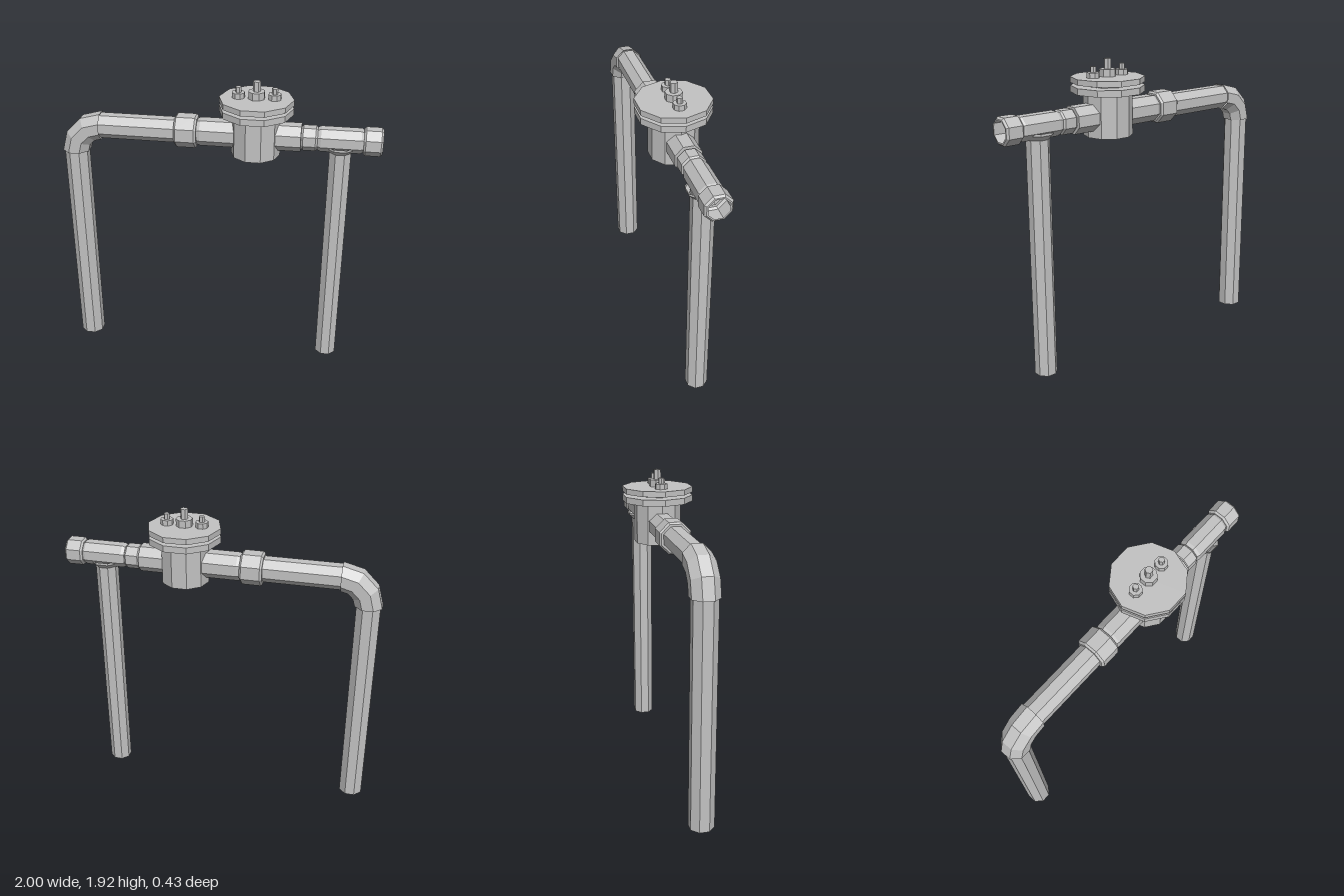
import * as THREE from 'three';

export function createModel() {
  const model = new THREE.Group();
  model.name = 'pipeValveAssembly';
  const metal = new THREE.MeshStandardMaterial({ color: 0xc2c2c2, flatShading: true, side: THREE.DoubleSide });
  metal.name = 'grey metal';
  const AXIS_Y = 1.58, VALVE_X = 0.23;

  function add(name, geometry) {
    const mesh = new THREE.Mesh(geometry, metal);
    mesh.name = name;
    model.add(mesh);
    return mesh;
  }
  // Faceted turned part: profile is a list of [radius, height], flats face front
  function turned(name, profile, x, sides = 8, phase = Math.PI / sides) {
    const points = profile.map(([r, y]) => new THREE.Vector2(r, y));
    const mesh = add(name, new THREE.LatheGeometry(points, sides, phase));
    mesh.position.x = x;
    return mesh;
  }
  // Same, laid along x on the pipe axis: profile is [radius, x]
  function alongX(name, profile) {
    const mesh = turned(name, profile, 0);
    mesh.rotation.z = -Math.PI / 2;
    mesh.position.y = AXIS_Y;
    return mesh;
  }
  // Nut with chamfered ends and an open bore
  function nut(name, x0, x1, r, bore) {
    const c = 0.012;
    alongX(name, [[bore, x0], [r - c, x0], [r, x0 + c], [r, x1 - c], [r - c, x1], [bore, x1]]);
  }

  // Upright pipes, open at the foot
  turned('longUprightPipe', [[0.079, 0], [0.079, 1.41]], -0.917);
  turned('shortUprightPipe', [[0.071, 0], [0.071, 1.53]], 0.75);

  // Quarter bend, with its ring turned half a side so flats match the pipes
  const R = 0.172, tube = 0.09;
  const bend = new THREE.TorusGeometry(R, tube, 8, 3, Math.PI / 2);
  const pos = bend.attributes.position, uv = bend.attributes.uv;
  for (let i = 0; i < pos.count; i++) {
    const u = Math.PI / 2 + uv.getX(i) * Math.PI / 2;
    const v = uv.getY(i) * Math.PI * 2 + Math.PI / 8;
    const d = R + tube * Math.cos(v);
    pos.setXYZ(i, d * Math.cos(u), d * Math.sin(u), tube * Math.sin(v));
  }
  bend.computeVertexNormals();
  add('elbow', bend).position.set(-0.745, AXIS_Y - R, 0);

  // Horizontal run
  alongX('horizontalPipe', [[0.08, -0.75], [0.08, -0.26]]);
  nut('leftUnionNut', -0.27, -0.13, 0.106, 0.07);
  alongX('inletPipe', [[0.07, -0.13], [0.082, -0.13], [0.088, -0.11], [0.088, 0.15]]);
  alongX('outletPipe', [[0.088, 0.32], [0.088, 0.51], [0.06, 0.51]]);
  nut('rightUnionNut', 0.51, 0.61, 0.078, 0.06);
  alongX('teePipe', [[0.06, 0.61], [0.07, 0.61], [0.078, 0.63], [0.078, 0.87], [0.07, 0.885], [0.06, 0.885]]);
  turned('teeCollar', [[0.071, 1.505], [0.1, 1.535], [0.1, 1.55]], 0.75);
  nut('endNut', 0.885, 1.0, 0.088, 0.066);

  // Valve body with a shallow pointed base
  turned('valveBody', [[0, 1.428], [0.152, 1.455], [0.152, 1.73]], VALVE_X, 10);

  // Pair of cover plates around a narrower gasket
  const disc = (r, y0, y1) => [[0, y0], [r, y0], [r, y1], [0, y1]];
  turned('lowerFlange', disc(0.228, 1.722, 1.762), VALVE_X, 10, Math.PI / 2);
  turned('gasket', disc(0.138, 1.76, 1.782), VALVE_X, 10);
  turned('upperFlange', disc(0.228, 1.78, 1.815), VALVE_X, 10, Math.PI / 2);

  // Studs and nuts on the cover
  for (const [name, x, r, top] of [
    ['leftBolt', 0.34, 0.04, 1.848],
    ['rightBolt', 0.12, 0.04, 1.848],
    ['centreBolt', VALVE_X, 0.052, 1.86],
  ]) {
    const tip = name === 'centreBolt' ? 1.922 : 1.883;
    turned(name + 'Nut', disc(r, 1.81, top), x);
    turned(name + 'Stud', disc(r * 0.46, top, tip), x, 6);
  }
  return model;
}
